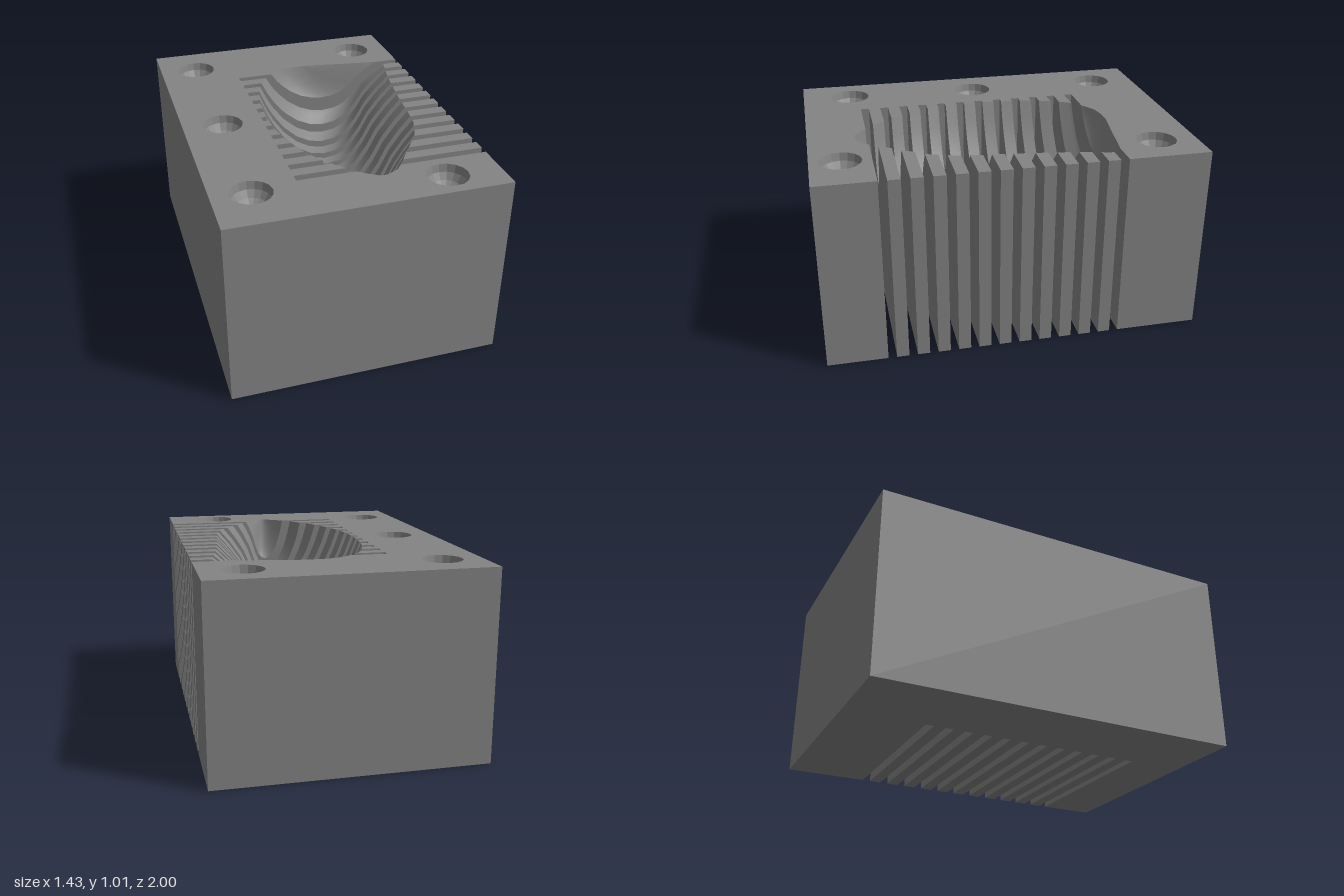
import * as THREE from 'three';
import { mergeGeometries } from 'three/addons/utils/BufferGeometryUtils.js';

const W = 0.713, D = 1, H = 1.01;               // half width, half length, height
const SLOT_X = -0.283, SLOT_W = 0.045, PITCH = 0.1092, SLOTS = 12, FIRST = -0.56;
const COLOR = 0x848484;

// Cavity stations along z: [z, left rim x, right rim x, depth]
const STATIONS = [
  [-0.625, 0.07, 0.16, 0], [-0.612, 0.0, 0.24, 0.06], [-0.595, -0.03, 0.34, 0.11],
  [-0.578, -0.06, 0.46, 0.16], [-0.557, -0.09, 0.595, 0.2], [-0.5, -0.145, 0.612, 0.28],
  [-0.43, -0.185, 0.595, 0.34], [-0.32, -0.22, 0.57, 0.39], [-0.2, -0.243, 0.55, 0.41],
  [0, -0.257, 0.522, 0.42], [0.15, -0.243, 0.508, 0.42], [0.27, -0.22, 0.49, 0.41],
  [0.4, -0.175, 0.445, 0.38], [0.5, -0.125, 0.38, 0.36], [0.6, -0.055, 0.31, 0.32],
  [0.68, 0.015, 0.26, 0.25], [0.725, 0.07, 0.22, 0.17], [0.757, 0.12, 0.16, 0],
];
// Cross-section of the cavity: [fraction of width, fraction of depth]
const PROFILE = [[0, 0], [0.05, 0.24], [0.1, 0.43], [0.18, 0.66], [0.28, 0.85], [0.38, 0.96],
  [0.48, 1], [0.58, 0.97], [0.67, 0.86], [0.75, 0.65], [0.82, 0.4], [0.91, 0.18], [1, 0]];
const DIMPLES = [[-0.505, -0.754], [0.495, -0.785], [-0.497, 0.003], [-0.514, 0.73], [0.435, 0.842]];
const DIMPLE_R = 0.107, DIMPLE_SIDES = 16;

const Z_MIN = STATIONS[0][0], Z_MAX = STATIONS[STATIONS.length - 1][0];

function station(z) {
  let i = 0;
  while (i < STATIONS.length - 2 && STATIONS[i + 1][0] < z) i++;
  const a = STATIONS[i], b = STATIONS[i + 1], t = (z - a[0]) / (b[0] - a[0]);
  return a.map((v, k) => v + (b[k] - v) * t);
}

// Stations from z = a to z = b, both ends included
function stationsBetween(a, b) {
  const inner = STATIONS.filter((s) => s[0] > a + 1e-4 && s[0] < b - 1e-4);
  return [station(a), ...inner, station(b)];
}

const sectionPoints = ([, l, r, depth]) => PROFILE.map(([u, d]) => [l + (r - l) * u, H - depth * d]);

const toShape = (pts) => new THREE.Shape(pts.map(([x, y]) => new THREE.Vector2(x, y)));

// Flat face seen from above, from points [x, z]
function deckFace(pts, holes = []) {
  const shape = toShape(pts.map(([x, z]) => [x, -z]));
  for (const [cx, cz] of holes) {
    const ring = [];
    for (let i = 0; i < DIMPLE_SIDES; i++) {
      const a = (i / DIMPLE_SIDES) * Math.PI * 2;
      ring.push(new THREE.Vector2(cx + DIMPLE_R * Math.cos(a), -cz + DIMPLE_R * Math.sin(a)));
    }
    shape.holes.push(new THREE.Path(ring));
  }
  return new THREE.ShapeGeometry(shape).rotateX(-Math.PI / 2).translate(0, H, 0);
}

// Full-height upright wall between two plan points
function wall(x0, z0, x1, z1) {
  const len = Math.hypot(x1 - x0, z1 - z0);
  return new THREE.PlaneGeometry(len, H)
    .rotateY(Math.atan2(-(z1 - z0), x1 - x0))
    .translate((x0 + x1) / 2, H / 2, (z0 + z1) / 2);
}

// Slot side wall, notched by the cavity section; facing is +1 or -1 along z
function slotSide(z, facing) {
  const pts = [[SLOT_X, 0], [W, 0], [W, H], ...sectionPoints(station(z)).reverse(), [SLOT_X, H]];
  if (facing > 0) return new THREE.ShapeGeometry(toShape(pts)).translate(0, 0, z);
  return new THREE.ShapeGeometry(toShape(pts.map(([x, y]) => [-x, y])))
    .rotateY(Math.PI).translate(0, 0, z);
}

// Piece of the cavity surface between two z values
function bowl(a, b) {
  const rows = stationsBetween(a, b), n = PROFILE.length, pos = [], idx = [];
  rows.forEach((s, j) => {
    for (const [x, y] of sectionPoints(s)) pos.push(x, y, s[0]);
    if (j === 0) return;
    for (let i = 0; i < n - 1; i++) {
      const p = (j - 1) * n + i, q = j * n + i;
      idx.push(p, q, p + 1, q, q + 1, p + 1);
    }
  });
  const g = new THREE.BufferGeometry();
  g.setAttribute('position', new THREE.Float32BufferAttribute(pos, 3));
  g.setIndex(idx);
  g.computeVertexNormals();
  return g;
}

export function createModel() {
  const group = new THREE.Group();
  const material = new THREE.MeshStandardMaterial({ color: COLOR, side: THREE.DoubleSide });
  const add = (name, geometries) => {
    const mesh = new THREE.Mesh(mergeGeometries(geometries), material);
    mesh.name = name;
    group.add(mesh);
  };

  const slots = Array.from({ length: SLOTS }, (_, i) => {
    const z = FIRST + i * PITCH;
    return [z, z + SLOT_W];
  });
  const zFirst = slots[0][0], zLast = slots[SLOTS - 1][1];
  const leftRim = (a, b) => stationsBetween(a, b).map((s) => [s[1], s[0]]);
  const rightRim = (a, b) => stationsBetween(a, b).map((s) => [s[2], s[0]]);

  // Top deck: spine, both ends and the short teeth left of the cavity
  const deck = [[-W, -D], [W, -D], [W, zFirst],
    ...rightRim(Z_MIN, zFirst).reverse(), ...leftRim(Z_MIN, zFirst)];
  slots.forEach(([a, b], i) => {
    deck.push([SLOT_X, a], [SLOT_X, b]);
    deck.push(...leftRim(b, i < SLOTS - 1 ? slots[i + 1][0] : Z_MAX));
  });
  deck.push(...rightRim(zLast, Z_MAX).reverse(), [W, zLast], [W, D], [-W, D]);
  add('topDeck', [deckFace(deck, DIMPLES)]);

  // Slats between slots: the deck strip right of the cavity, and the cavity surface
  const slats = slots.slice(1).map(([a], i) => [slots[i][1], a]);
  add('slatTops', slats.map(([a, b]) => deckFace([...rightRim(a, b), [W, b], [W, a]])));
  add('cavity', [[Z_MIN, zFirst], ...slats, [zLast, Z_MAX]].map(([a, b]) => bowl(a, b)));

  // Slot interiors
  add('slotSides', slots.flatMap(([a, b]) => [slotSide(a, 1), slotSide(b, -1)]));
  add('slotEnds', slots.map(([a, b]) => wall(SLOT_X, b, SLOT_X, a)));

  // Outer walls; the slotted side is made of separate strips
  add('outerWalls', [
    wall(-W, D, W, D), wall(W, -D, -W, -D), wall(-W, -D, -W, D),
    ...[[-D, zFirst], ...slats, [zLast, D]].map(([a, b]) => wall(W, b, W, a)),
  ]);

  // Underside with the slots open
  const comb = [[-W, -D], [W, -D]];
  for (const [a, b] of slots) comb.push([W, a], [SLOT_X, a], [SLOT_X, b], [W, b]);
  comb.push([W, D], [-W, D]);
  add('underside', [new THREE.ShapeGeometry(toShape(comb)).rotateX(Math.PI / 2)]);

  // Round registration dimples
  const dimpleMaterial = new THREE.MeshStandardMaterial({
    color: COLOR, side: THREE.DoubleSide, flatShading: true,
  });
  for (const [x, z] of DIMPLES) {
    const dimple = new THREE.Mesh(
      new THREE.SphereGeometry(DIMPLE_R, DIMPLE_SIDES, 4, 0, Math.PI * 2, Math.PI / 2, Math.PI / 2),
      dimpleMaterial);
    dimple.position.set(x, H, z);
    dimple.name = 'dimple';
    group.add(dimple);
  }
  return group;
}
